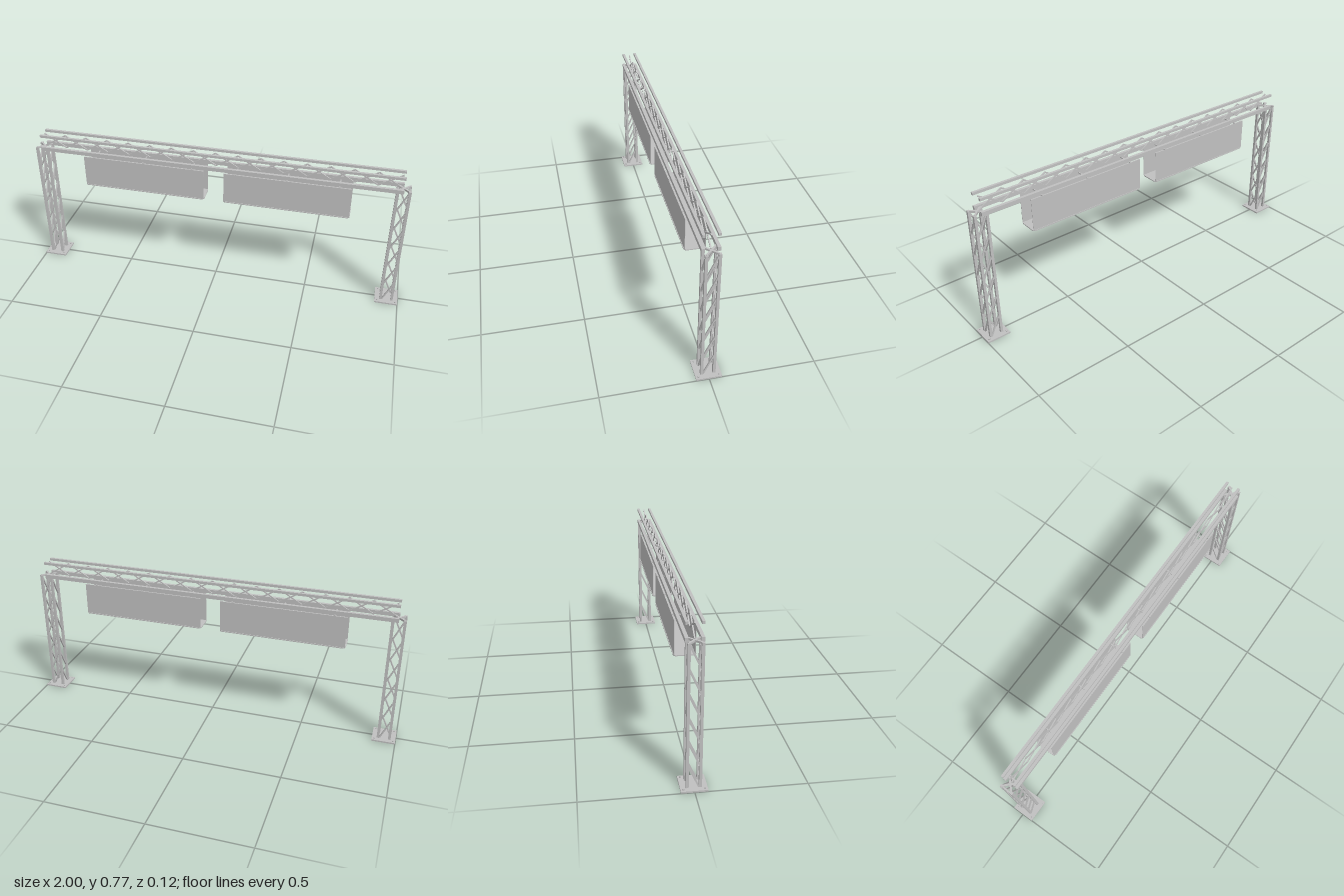
import * as THREE from 'three';

const steel = new THREE.MeshStandardMaterial({ color: 0xc0c0c0 });
steel.name = 'galvanised steel';

function box(parent, name, w, h, d, x, y, z) {
  const m = new THREE.Mesh(new THREE.BoxGeometry(w, h, d), steel);
  m.name = name;
  m.position.set(x, y, z);
  parent.add(m);
  return m;
}

// Square bar running between two points
function bar(parent, name, a, b, t) {
  const from = new THREE.Vector3(...a), to = new THREE.Vector3(...b);
  const dir = to.clone().sub(from);
  const m = new THREE.Mesh(new THREE.BoxGeometry(t, t, dir.length()), steel);
  m.name = name;
  m.position.copy(from).add(to).multiplyScalar(0.5);
  m.lookAt(to);
  parent.add(m);
}

// Lattice tower: base plate, bolts, four posts, diagonal braces
function makeTower(cx) {
  const g = new THREE.Group();
  g.name = 'tower';
  g.position.x = cx;
  box(g, 'basePlate', 0.12, 0.008, 0.12, 0, 0.007, 0);
  const r = 0.029, pitch = 0.113;
  for (const sx of [-1, 1]) for (const sz of [-1, 1]) {
    box(g, 'post', 0.013, 0.68, 0.013, sx * r, 0.35, sz * r);
    const bolt = new THREE.Mesh(new THREE.CylinderGeometry(0.004, 0.004, 0.006, 6), steel);
    bolt.name = 'anchorBolt';
    bolt.position.set(sx * 0.047, 0.014, sz * 0.047);
    g.add(bolt);
  }
  for (let i = 0; i < 6; i++) {
    const y0 = 0.005 + i * pitch, y1 = y0 + pitch - 0.003;
    for (const s of [-1, 1]) {
      bar(g, 'sideBrace', [s * r, y0, 0.025], [s * r, y1, -0.025], 0.007);
      bar(g, 'faceBrace', [-s * 0.025, y0, s * r], [s * 0.025, y1, s * r], 0.007);
    }
  }
  // Crossed bars tie the post tops together
  for (const s of [-1, 1])
    bar(g, 'topCrossTie', [-r, 0.687, -s * r], [r, 0.687, s * r], 0.009);
  return g;
}

// Horizontal truss: four chords and a central crossed web
function makeTruss() {
  const g = new THREE.Group();
  g.name = 'truss';
  for (const s of [-1, 1]) {
    box(g, 'topChord', 1.88, 0.013, 0.013, 0, 0.763, s * 0.034);
    box(g, 'bottomChord', 1.88, 0.02, 0.015, 0, 0.69, s * 0.034);
  }
  const bays = 16, start = -0.93, step = 1.86 / bays;
  for (let i = 0; i < bays; i++) {
    const x0 = start + i * step, x1 = x0 + step;
    bar(g, 'webBrace', [x0, 0.692, 0], [x1, 0.762, 0], 0.006);
    bar(g, 'webBrace', [x0, 0.762, 0], [x1, 0.692, 0], 0.006);
  }
  return g;
}

// Open-ended sign housing: two walls, floor tray with clipped corners, hangers
function makeSign(cx) {
  const g = new THREE.Group();
  g.name = 'signHousing';
  g.position.x = cx;
  for (const s of [-1, 1]) {
    box(g, 'signWall', 0.645, 0.165, 0.002, 0, 0.5935, s * 0.048);
    box(g, 'wallFlange', 0.645, 0.002, 0.007, 0, 0.676, s * 0.0455);
  }
  const w = 0.325, d = 0.052, c = 0.01;
  const tray = new THREE.Shape([
    [-w + c, -d], [w - c, -d], [w, -d + c], [w, d - c],
    [w - c, d], [-w + c, d], [-w, d - c], [-w, -d + c],
  ].map(p => new THREE.Vector2(...p)));
  const floor = new THREE.Mesh(
    new THREE.ExtrudeGeometry(tray, { depth: 0.005, bevelEnabled: false }).rotateX(-Math.PI / 2), steel);
  floor.name = 'signFloor';
  floor.position.y = 0.508;
  g.add(floor);
  for (const x of [-0.26, 0, 0.26])
    box(g, 'hanger', 0.006, 0.005, 0.096, x, 0.6785, 0);
  return g;
}

export function createModel() {
  const model = new THREE.Group();
  model.name = 'signGantry';
  for (const s of [-1, 1]) model.add(makeTower(s * 0.94));
  model.add(makeTruss());
  for (const x of [-0.377, 0.373]) model.add(makeSign(x));
  return model;
}
